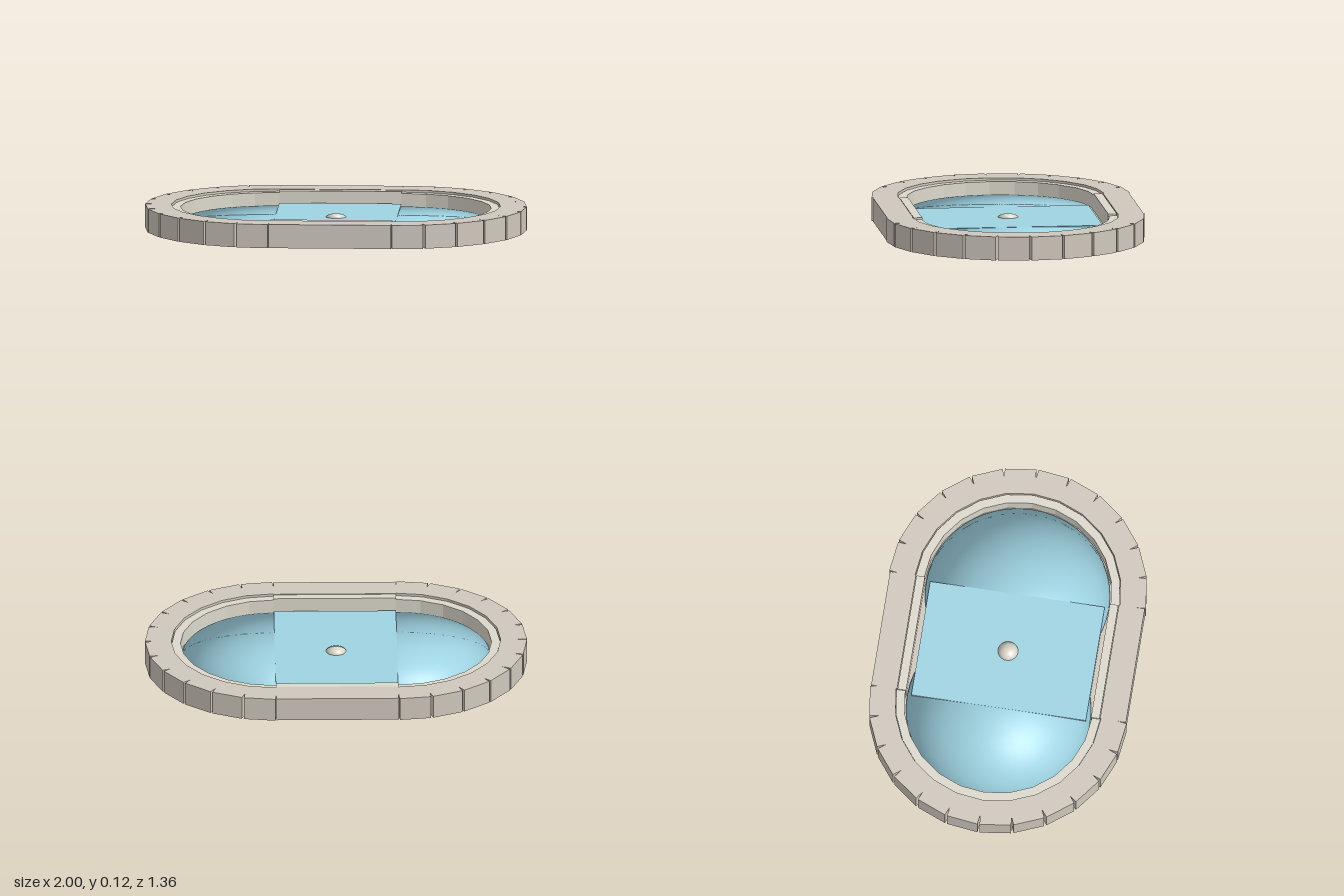
import * as THREE from 'three';

const stone = new THREE.MeshStandardMaterial({ color: 0xcfc8bd });
const trim = new THREE.MeshStandardMaterial({ color: 0xdcd8cc });
const blue = new THREE.MeshStandardMaterial({ color: 0x9fd3e2 });

const HALF = 0.32;      // half length of the straight sides
const SEGMENTS = 12;    // stones in each rounded end
const STEP = Math.PI / SEGMENTS;

function add(parent, name, geometry, material, x = 0, y = 0, z = 0) {
  const mesh = new THREE.Mesh(geometry, material);
  mesh.name = name;
  mesh.position.set(x, y, z);
  parent.add(mesh);
  return mesh;
}

// Course of blocks around the oval, from radius r0 to r1
function course(name, r0, r1, width, y0, endTop, sideTop, material) {
  const group = new THREE.Group();
  group.name = name;
  const depth = r1 - r0, r = (r0 + r1) / 2;
  const endBlock = new THREE.BoxGeometry(depth, endTop - y0, width);
  const sideBlock = new THREE.BoxGeometry(HALF * 2, sideTop - y0, depth);
  for (const side of [-1, 1]) {
    for (let i = 0; i < SEGMENTS; i++) {
      const a = -Math.PI / 2 + (i + 0.5) * STEP;
      const block = add(group, name + 'EndBlock', endBlock, material,
        side * (HALF + r * Math.cos(a)), (y0 + endTop) / 2, r * Math.sin(a));
      block.rotation.y = -side * a;
    }
    add(group, name + 'SideBlock', sideBlock, material, 0, (y0 + sideTop) / 2, side * r);
  }
  return group;
}

// Half sphere pressed nearly flat, keeping its round shading
function shallowDome(radius, height) {
  const geometry = new THREE.SphereGeometry(radius, 48, 16, 0, Math.PI * 2, 0, Math.PI / 2);
  const p = geometry.attributes.position;
  for (let i = 0; i < p.count; i++) p.setY(i, p.getY(i) * height / radius);
  return geometry;
}

export function createModel() {
  const model = new THREE.Group();
  model.name = 'ovalPool';

  // Outer coping and the narrow inner curb
  model.add(course('coping', 0.538, 0.675, 0.165, 0, 0.125, 0.125, stone));
  model.add(course('innerCurb', 0.49, 0.535, 0.142, 0.003, 0.113, 0.123, trim));

  // Basin floor
  const oval = new THREE.Shape();
  oval.absarc(HALF, 0, 0.515, -Math.PI / 2, Math.PI / 2);
  oval.absarc(-HALF, 0, 0.515, Math.PI / 2, Math.PI * 1.5);
  oval.closePath();
  const floor = new THREE.ExtrudeGeometry(oval, { depth: 0.03, bevelEnabled: false, curveSegments: 24 });
  floor.rotateX(-Math.PI / 2);
  add(model, 'basinFloor', floor, stone, 0, 0.002, 0);

  // Water: two rounded ends and a flat middle
  for (const side of [-1, 1]) {
    add(model, 'waterEnd', shallowDome(0.485, 0.018), blue, side * HALF, 0.044, 0);
  }
  add(model, 'waterMiddle', new THREE.BoxGeometry(HALF * 2, 0.03, 0.925), blue, 0, 0.048, 0);

  // Small fountain stone in the centre
  add(model, 'fountainStone', shallowDome(0.053, 0.018), trim, 0, 0.062, 0);

  return model;
}
